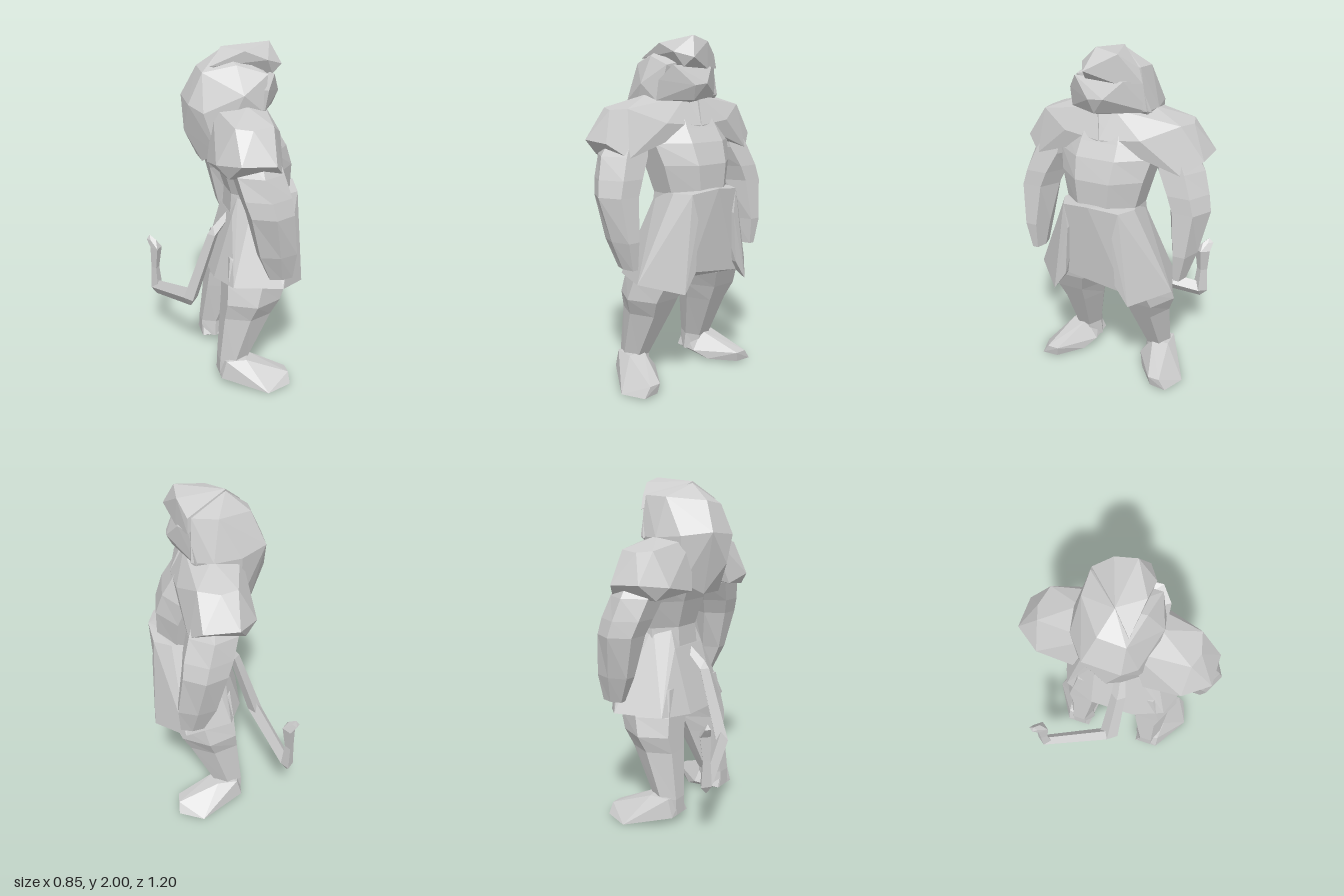
import * as THREE from 'three';
import { ConvexGeometry } from 'three/addons/geometries/ConvexGeometry.js';

const material = new THREE.MeshStandardMaterial({ color: 0xcccccc, flatShading: true, side: THREE.DoubleSide });

function part(group, name, geometry) {
  const mesh = new THREE.Mesh(geometry, material);
  mesh.name = name;
  group.add(mesh);
}

// Faceted solid around a few corner points; side = -1 mirrors it in z.
function hull(points, side = 1) {
  return new ConvexGeometry(points.map(([x, y, z]) => new THREE.Vector3(x, y, z * side)));
}

// Corner points together with their mirror images in z.
function mirrored(points) {
  return points.flatMap(([x, y, z]) => [[x, y, z], [x, y, -z]]);
}

// Closed loft, top to bottom, through rings [y, xBack, xFront, zInner, zOuter].
function loft(rings, sides, side = 1) {
  const pos = [], index = [];
  const kx = 1 / Math.cos(Math.PI / sides);
  const kz = sides % 4 === 0 ? kx : 1;
  for (const [y, x0, x1, z0, z1] of rings) {
    for (let i = 0; i < sides; i++) {
      const a = ((i + 0.5) / sides) * Math.PI * 2;
      pos.push(
        (x0 + x1) / 2 + (Math.cos(a) * kx * (x1 - x0)) / 2,
        y,
        (side * (z0 + z1)) / 2 + (Math.sin(a) * kz * (z1 - z0)) / 2,
      );
    }
  }
  for (let r = 0; r < rings.length - 1; r++) {
    for (let i = 0; i < sides; i++) {
      const a = r * sides + i, b = r * sides + ((i + 1) % sides);
      index.push(a, b, a + sides, b, b + sides, a + sides);
    }
  }
  const last = (rings.length - 1) * sides;
  for (let i = 1; i < sides - 1; i++) {
    index.push(0, i + 1, i, last, last + i, last + i + 1);
  }
  const g = new THREE.BufferGeometry();
  g.setAttribute('position', new THREE.Float32BufferAttribute(pos, 3));
  g.setIndex(index);
  const flat = g.toNonIndexed();
  flat.computeVertexNormals();
  return flat;
}

// Six corners around a tail joint, narrower in x.
function joint([x, y, z, r]) {
  const w = r * 0.75;
  return [[x + w, y, z], [x - w, y, z], [x, y + r, z], [x, y - r, z], [x, y, z + r], [x, y, z - r]];
}

export function createModel() {
  const model = new THREE.Group();
  model.name = 'beastFigure';

  part(model, 'torso', loft([
    [1.64, -0.12, 0.20, -0.22, 0.22],
    [1.50, -0.11, 0.28, -0.27, 0.27],
    [1.42, -0.09, 0.33, -0.28, 0.28],
    [1.30, -0.04, 0.37, -0.25, 0.25],
    [1.14, 0.01, 0.37, -0.21, 0.21],
    [1.00, 0.00, 0.35, -0.22, 0.22],
  ], 8));

  // Flared skirt, set back in the middle of the front
  part(model, 'skirt', hull([
    ...mirrored([
      [0.04, 1.13, 0.12], [0.12, 1.15, 0.19], [0.29, 1.15, 0.22], [0.39, 1.15, 0.17],
      [0.0, 1.02, 0.14], [-0.11, 0.64, 0.14], [-0.04, 0.65, 0.33], [0.23, 0.66, 0.43],
    ]),
    [0.42, 1.17, 0], [0.37, 0.71, 0.17], [0.37, 0.66, -0.2],
  ]));

  for (const side of [1, -1]) {
    const label = side > 0 ? 'left' : 'right';

    // Overlapping front flap of the skirt
    part(model, label + 'SkirtFlap', hull([
      [0.39, 1.15, 0.17], [0.29, 1.15, 0.22], [0.405, 1.01, 0.14], [0.41, 0.72, 0.16],
      [0.41, 0.605, 0.24], [0.23, 0.66, 0.43], [0.3, 0.72, 0.17], [0.2, 0.67, 0.34], [0.3, 1.05, 0.12],
    ], side));

    // Shoulder fur overhanging chest and upper arm
    part(model, label + 'Shoulder', hull([
      [0.20, 1.67, 0.05], [0.28, 1.51, 0], [0.25, 1.53, 0.23], [-0.1, 1.67, 0.1], [0.06, 1.68, 0.22],
      [0.15, 1.61, 0.42], [-0.06, 1.61, 0.42], [0.03, 1.6, 0.45], [-0.06, 1.44, 0.55], [0.13, 1.43, 0.55],
      [0.2, 1.35, 0.45], [-0.1, 1.35, 0.45], [-0.16, 1.42, 0.41], [-0.16, 1.38, 0.2],
    ], side));

    // Arm tapering to a blunt hand
    part(model, label + 'Arm', loft([
      [1.48, -0.04, 0.17, 0.24, 0.46],
      [1.36, -0.06, 0.20, 0.25, 0.54],
      [1.24, -0.03, 0.23, 0.32, 0.58],
      [1.15, 0.00, 0.24, 0.36, 0.60],
      [0.91, 0.06, 0.27, 0.41, 0.55],
      [0.755, 0.13, 0.26, 0.43, 0.50],
    ], 6, side));

    // Bent leg and outward-turned foot
    part(model, label + 'Leg', loft([
      [0.80, -0.04, 0.33, 0.04, 0.32],
      [0.64, -0.06, 0.30, 0.03, 0.37],
      [0.53, -0.07, 0.25, 0.07, 0.39],
      [0.43, -0.08, 0.20, 0.10, 0.35],
      [0.15, -0.11, 0.06, 0.17, 0.33],
      [0.05, -0.11, 0.05, 0.16, 0.33],
    ], 6, side));
    part(model, label + 'Foot', hull([
      [-0.11, 0.05, 0.18], [-0.11, 0.05, 0.33], [-0.1, 0.14, 0.22], [-0.08, 0.16, 0.33],
      [0.05, 0.17, 0.24], [0.04, 0.16, 0.34], [0.14, 0.015, 0.21], [0.06, 0.06, 0.16],
      [0.29, 0.07, 0.32], [0.29, 0.07, 0.39], [0.29, 0.01, 0.43], [0.14, 0.0, 0.48], [0.28, 0.01, 0.33],
    ], side));
  }

  // Heavy mane falling over the back
  part(model, 'mane', hull([
    [-0.25, 1.52, 0.02], [-0.24, 1.7, -0.11], [-0.24, 1.68, 0.1], [-0.16, 1.87, -0.05], [-0.16, 1.85, 0.1],
    [-0.03, 1.965, 0], [0.02, 1.89, 0.15], [0.16, 1.9, -0.19], [0.02, 1.89, -0.19], [0.05, 1.67, -0.25],
    [-0.1, 1.68, -0.22], [0.04, 1.74, 0.24], [-0.17, 1.64, 0.17], [0.17, 1.67, -0.23], [0.16, 1.64, 0.22],
    [0.19, 1.84, 0.18], [-0.16, 1.35, 0.08], [-0.16, 1.35, -0.08], [-0.1, 1.42, 0.2], [-0.1, 1.42, -0.2],
    [0.1, 1.6, 0],
  ]));

  // Crown whose brow overhangs the face
  part(model, 'crown', hull([
    [-0.03, 1.975, 0], [0.24, 2.0, 0.03], [0.23, 1.97, -0.09], [0.30, 1.88, 0.08], [0.24, 1.82, -0.08],
    [0.18, 1.9, -0.19], [0.18, 1.82, -0.21], [0.2, 1.91, 0.14], [0.07, 1.96, 0.13], [-0.12, 1.88, 0.1],
    [0.1, 1.85, -0.1], [0.1, 1.86, 0.1], [0.24, 1.83, 0.1],
  ]));

  // Broad cheeks meeting in a blunt muzzle
  part(model, 'face', hull([
    [0.23, 1.84, 0.17], [0.23, 1.83, -0.12], [0.29, 1.73, 0.06], [0.29, 1.74, -0.03], [0.26, 1.65, 0.04],
    [0.16, 1.65, 0.23], [0.18, 1.76, 0.23], [0.14, 1.66, -0.25], [0.18, 1.83, -0.19],
    [0.16, 1.62, 0.02], [0.05, 1.75, 0],
  ]));

  // Tail chained through its joints, curling up at the end
  const tail = new THREE.Group();
  tail.name = 'tail';
  const joints = [
    [0.02, 1.0, 0.02, 0.03], [-0.09, 0.88, 0.04, 0.045], [-0.23, 0.46, 0.02, 0.06],
    [-0.38, 0.35, -0.385, 0.05], [-0.385, 0.5, -0.39, 0.035], [-0.375, 0.64, -0.39, 0.05], [-0.41, 0.69, -0.42, 0.028],
  ];
  for (let i = 0; i < joints.length - 1; i++) {
    part(tail, 'tailSegment' + (i + 1), hull([...joint(joints[i]), ...joint(joints[i + 1])]));
  }
  model.add(tail);
  return model;
}
